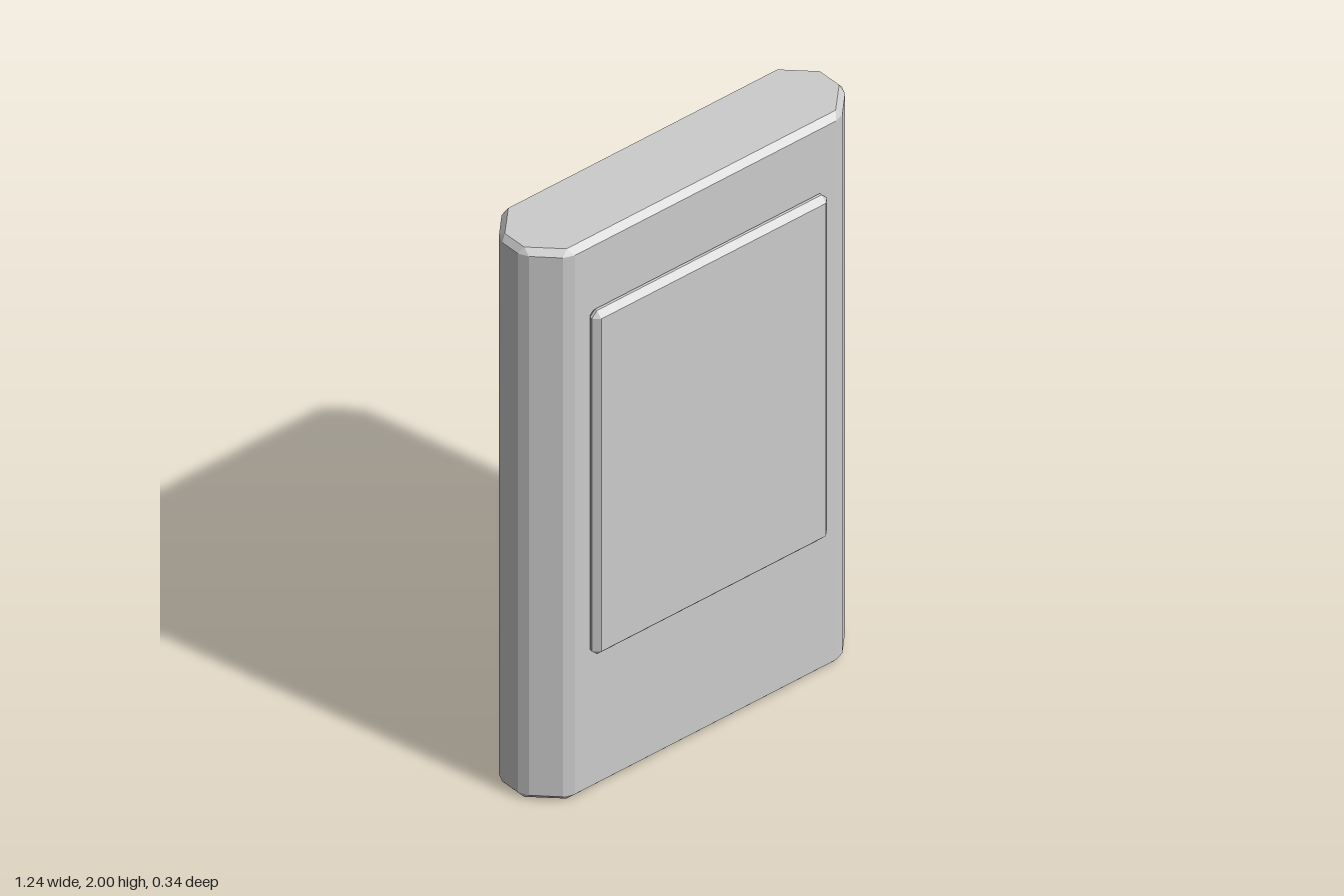
import * as THREE from 'three';

// Mirror a quarter outline (from +x round to +y) into a full counter-clockwise loop
function mirrorLoop(q) {
  const r = [...q].reverse();
  return [
    ...q,
    ...r.map(([x, y]) => [-x, y]),
    ...q.map(([x, y]) => [-x, -y]),
    ...r.map(([x, y]) => [x, -y]),
  ];
}

// Faceted solid along z from rings of { z, pts }, closed by a cap at both ends
function loft(rings) {
  const pos = [];
  const tri = (a, b, c) => {
    const n = b.clone().sub(a).cross(c.clone().sub(a));
    if (n.length() > 1e-9) for (const p of [a, b, c]) pos.push(p.x, p.y, p.z);
  };
  const loops = rings.map(({ z, pts }) => mirrorLoop(pts).map(([x, y]) => new THREE.Vector3(x, y, z)));
  const n = loops[0].length;
  for (let k = 0; k < loops.length - 1; k++) {
    const lo = loops[k], hi = loops[k + 1];
    for (let i = 0; i < n; i++) {
      const j = (i + 1) % n;
      tri(lo[i], lo[j], hi[j]);
      tri(lo[i], hi[j], hi[i]);
    }
  }
  const first = loops[0], last = loops[loops.length - 1];
  for (let i = 1; i < n - 1; i++) {
    tri(first[0], first[i + 1], first[i]);
    tri(last[0], last[i], last[i + 1]);
  }
  const g = new THREE.BufferGeometry();
  g.setAttribute('position', new THREE.Float32BufferAttribute(pos, 3));
  g.computeVertexNormals();
  return g;
}

export function createModel() {
  const model = new THREE.Group();
  model.name = 'panelledSlab';
  const grey = new THREE.MeshStandardMaterial({ color: 0xcccccc });
  grey.name = 'lightGrey';

  // Upright slab with wide chamfered corners and bevelled ends
  const side = [[0.62, 0.035], [0.605, 0.067], [0.535, 0.137], [0.5, 0.15]];
  const cap = [[0.603, 0.043], [0.603, 0.043], [0.515, 0.13], [0.515, 0.13]];
  const bodyGeometry = loft([
    { z: 0, pts: cap },
    { z: 0.02, pts: side },
    { z: 1.98, pts: side },
    { z: 2, pts: cap },
  ]);
  bodyGeometry.rotateX(-Math.PI / 2);
  const body = new THREE.Mesh(bodyGeometry, grey);
  body.name = 'body';
  body.position.z = -0.02;
  model.add(body);

  // Raised bevelled panel on the front
  const rim = [[0.45, 0.605], [0.43, 0.625]];
  const face = [[0.43, 0.605], [0.43, 0.605]];
  const panel = new THREE.Mesh(loft([
    { z: 0.12, pts: face },
    { z: 0.138, pts: rim },
    { z: 0.147, pts: rim },
    { z: 0.166, pts: face },
  ]), grey);
  panel.name = 'frontPanel';
  panel.position.y = 1.13;
  model.add(panel);

  return model;
}
